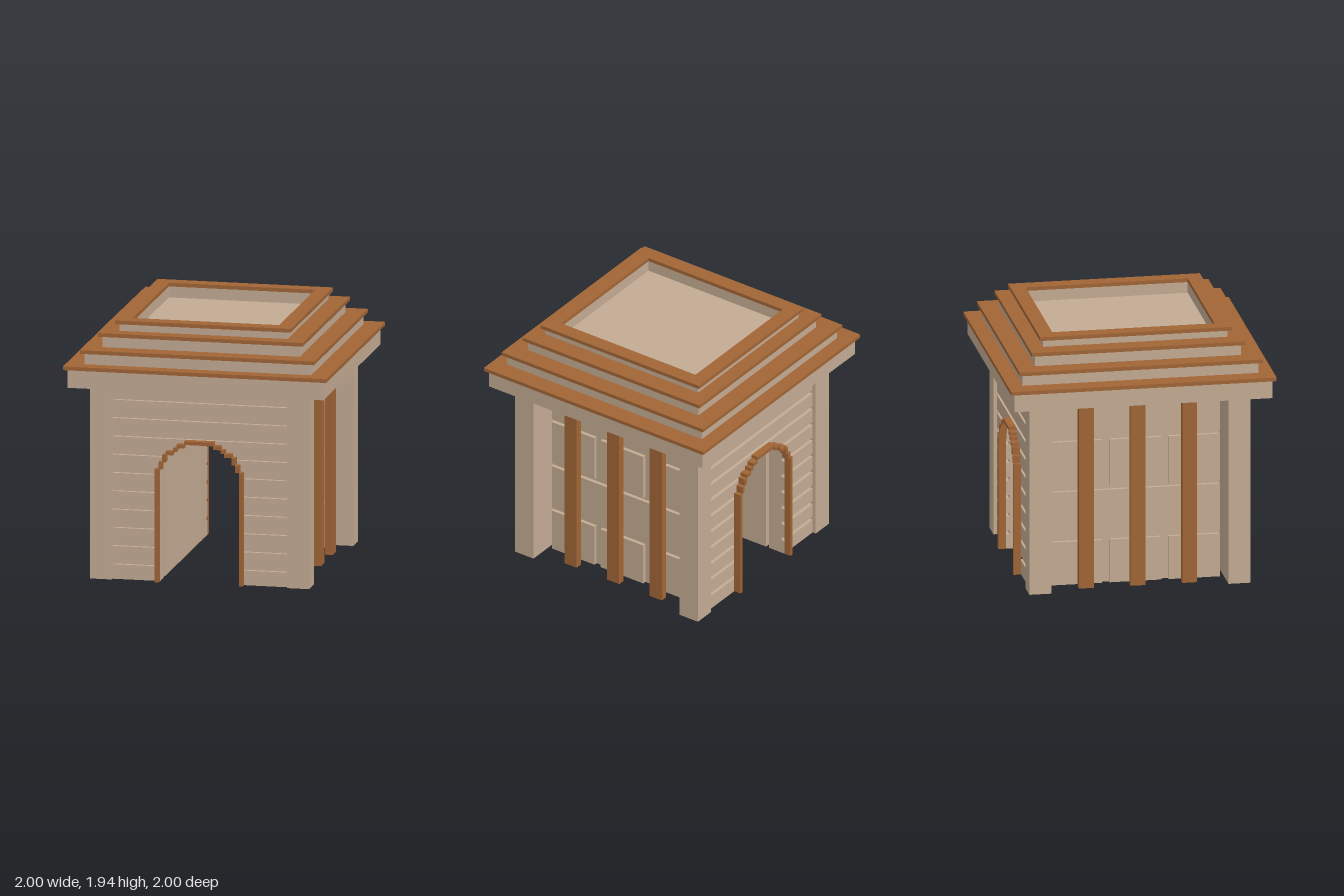
import * as THREE from 'three';
import { mergeGeometries } from 'three/addons/utils/BufferGeometryUtils.js';

const U = 1 / 36; // one block unit

// Stepped arch opening: [half width, bottom, top]; solid above the last step
const ARCH = [[11, 0, 31], [10, 31, 33], [9, 33, 35], [7, 35, 36], [6, 36, 37], [4, 37, 38], [0, 38, 53]];
// Wooden trim following the arch: [inner half width, outer half width, bottom, top]
const TRIM = [[11, 12, 0, 31], [10, 11, 31, 33], [9, 10, 33, 35], [7, 9, 35, 36], [6, 7, 36, 37], [4, 6, 37, 38], [0, 4, 38, 39]];

// Box geometry from its limits, in block units
function box(x0, x1, y0, y1, z0, z1) {
  return new THREE.BoxGeometry((x1 - x0) * U, (y1 - y0) * U, (z1 - z0) * U)
    .translate((x0 + x1) / 2 * U, (y0 + y1) / 2 * U, (z0 + z1) / 2 * U);
}

// Slab of half width w between y0 and y1 with the arch cut through it
function archedSlab(w, y0, y1, z0, z1) {
  const out = [];
  for (const [half, a, b] of ARCH) {
    const lo = Math.max(a, y0), hi = Math.min(b, y1);
    if (lo >= hi) continue;
    if (half === 0) out.push(box(-w, w, lo, hi, z0, z1));
    else out.push(box(-w, -half, lo, hi, z0, z1), box(half, w, lo, hi, z0, z1));
  }
  return out;
}

// Rectangular ring, outer half sizes ox, oz and inner ix, iz
function ring(ox, oz, ix, iz, y0, y1) {
  return [
    box(-ox, ox, y0, y1, iz, oz), box(-ox, ox, y0, y1, -oz, -iz),
    box(ix, ox, y0, y1, -iz, iz), box(-ox, -ix, y0, y1, -iz, iz),
  ];
}

export function createModel() {
  const model = new THREE.Group();
  model.name = 'archedGatehouse';
  const stone = new THREE.MeshStandardMaterial({ color: 0xc4ab94 });
  stone.name = 'stone';
  const wood = new THREE.MeshStandardMaterial({ color: 0xa16536 });
  wood.name = 'wood';

  const add = (name, parts, material, parent = model) => {
    const mesh = new THREE.Mesh(mergeGeometries(parts), material);
    mesh.name = name;
    parent.add(mesh);
  };

  // Corner pillars
  for (const sx of [-1, 1]) for (const sz of [-1, 1]) {
    add('cornerPillar', [box(sx * 27 - 3, sx * 27 + 3, 0, 53, sz * 27 - 3, sz * 27 + 3)], stone);
  }

  // Front and back walls: backing, grooved boards and stepped arch trim
  for (const [name, turn] of [['frontWall', 0], ['backWall', Math.PI]]) {
    const wall = new THREE.Group();
    wall.name = name;
    wall.rotation.y = turn;
    add('backing', archedSlab(24, 0, 53, 24, 28), stone, wall);
    const boards = [];
    for (let y = 0; y < 53; y += 5) boards.push(...archedSlab(24, y, Math.min(y + 4, 53), 28, 29));
    add('boards', boards, stone, wall);
    const trim = [];
    for (const [inner, outer, y0, y1] of TRIM) {
      trim.push(box(inner, outer, y0, y1, 29, 31), box(-outer, -inner, y0, y1, 29, 31));
    }
    add('archTrim', trim, wood, wall);
    model.add(wall);
  }

  // Thick core with the vaulted passage
  add('passageCore', archedSlab(22, 0, 53, -23, 23), stone);

  // Sides: stone courses with joints, and three wooden posts standing clear of them
  for (const [name, turn] of [['leftSide', 0], ['rightSide', Math.PI]]) {
    const side = new THREE.Group();
    side.name = name;
    side.rotation.y = turn;
    const blocks = [];
    [[0, 12], [13, 26], [27, 40], [41, 53]].forEach(([y0, y1], row) => {
      const spans = row % 2 ? [[-23, 23]] : [[-23, -9], [-7, 7], [9, 23]];
      for (const [z0, z1] of spans) blocks.push(box(22, 23, y0, y1, z0, z1));
    });
    add('stoneCourses', blocks, stone, side);
    for (const z of [-14, 0, 14]) add('post', [box(25, 27, 0, 53, z - 2, z + 2)], wood, side);
    model.add(side);
  }

  // Stepped roof tiers, each capped with a wooden lip
  const tiers = [
    [35, 35, 53, 58],
    [31, 32, 58, 62],
    [27, 28, 62, 66],
  ];
  for (const [x, z, y0, y1] of tiers) {
    add('roofTier', [box(-x, x, y0, y1, -z, z)], stone);
    add('roofLip', ring(x + 1, z + 1, x - 5, z - 5, y1, y1 + 1), wood);
  }

  // Top parapet around the sunken roof
  add('parapet', ring(23, 25, 20, 22, 66, 69), stone);
  add('parapetLip', ring(24, 26, 20, 22, 69, 70), wood);

  return model;
}
